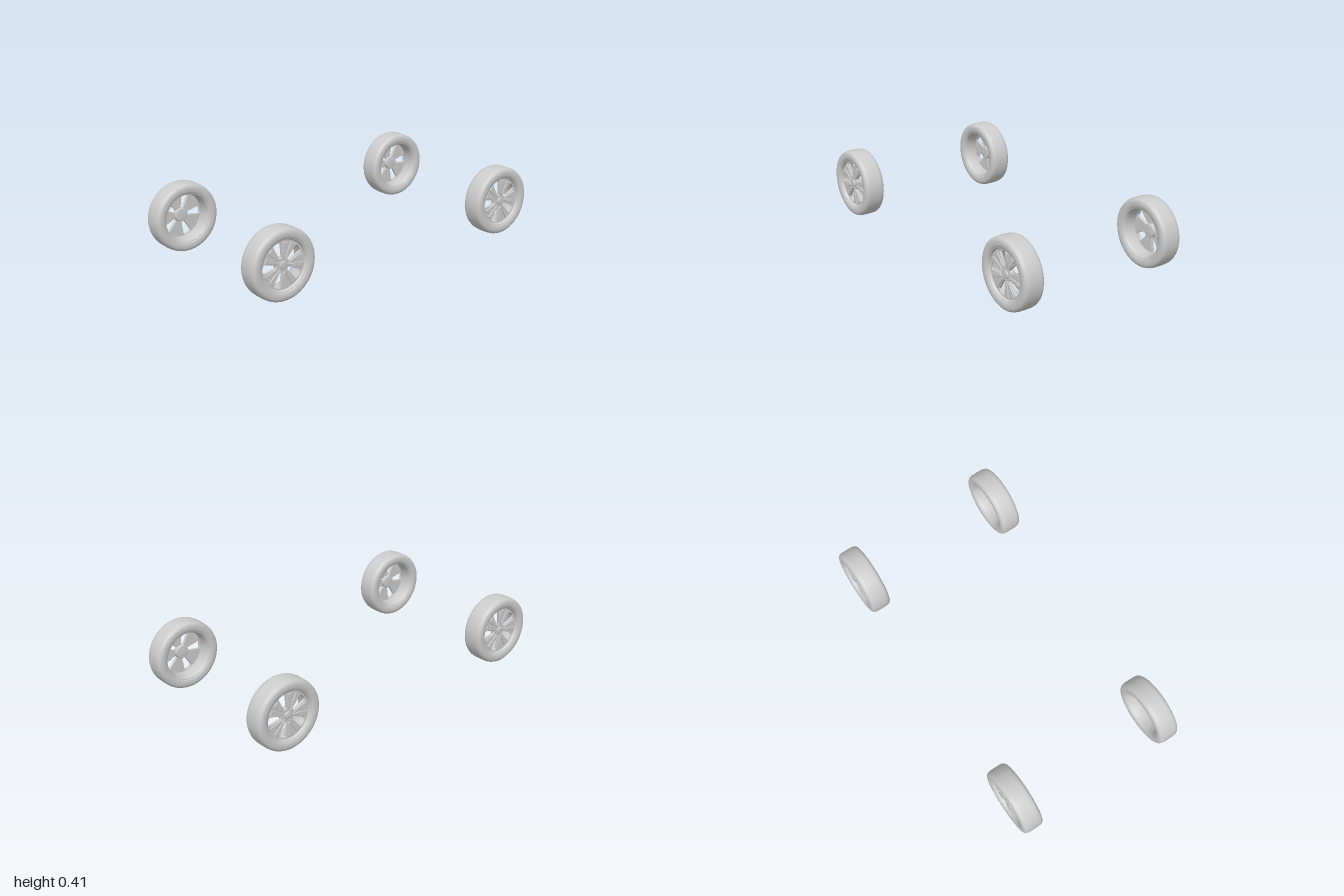
import * as THREE from 'three';

const R = 0.2025, TAU = Math.PI * 2, SPOKES = 5;
const smooth = new THREE.MeshStandardMaterial({ color: 0xcccccc });
const thin = new THREE.MeshStandardMaterial({ color: 0xcccccc, side: THREE.DoubleSide });

function add(parent, name, geometry, material = smooth) {
  const mesh = new THREE.Mesh(geometry, material);
  mesh.name = name;
  parent.add(mesh);
  return mesh;
}

// Revolve a [radius, depth] profile around the axle (local +z points outwards)
function revolve(profile, segments = 80) {
  const points = profile.map(([r, z]) => new THREE.Vector2(r, z));
  return new THREE.LatheGeometry(points, segments).rotateX(Math.PI / 2);
}

// Put [along, across] points on the spoke ray at the given angle
const ray = (pts, angle) => pts.map(([u, v]) =>
  new THREE.Vector2(u, v).rotateAround(new THREE.Vector2(), angle));

function extrude(shape, depth, z, bevel) {
  return new THREE.ExtrudeGeometry(shape, {
    depth, curveSegments: 64, bevelEnabled: true, bevelSegments: 2,
    bevelThickness: bevel, bevelSize: bevel, bevelOffset: -bevel,
  }).translate(0, 0, z);
}

// Tyre: rounded tread shoulders and bulging sidewalls
function tyreGeometry() {
  const half = [
    [0.144, 0.052], [0.148, 0.0575], [0.156, 0.061], [0.168, 0.0625], [0.18, 0.062],
    [0.189, 0.059], [0.196, 0.053], [0.2, 0.044], [0.202, 0.03],
  ];
  const outer = [...half.map(([r, z]) => [r, -z]), [R, 0], ...half.reverse()];
  return revolve([...outer, [0.142, 0.04], [0.142, -0.04], [0.144, -0.052]]);
}

// Rim barrel: open inwards, with a lip at each end
function barrelGeometry() {
  return revolve([
    [0.147, -0.055], [0.142, -0.056], [0.139, -0.05], [0.134, -0.04], [0.13, -0.01],
    [0.131, 0.02], [0.137, 0.042], [0.14, 0.052], [0.143, 0.055], [0.147, 0.055],
  ]);
}

// Wheel face: a disc pierced by five tapering windows
function faceGeometry() {
  const face = new THREE.Shape().absarc(0, 0, 0.139, 0, TAU, false);
  for (let i = 0; i < SPOKES; i++) {
    const pts = ray([[0.04, -0.008], [0.085, -0.019], [0.118, -0.026], [0.126, -0.018],
      [0.128, 0.01], [0.122, 0.022], [0.085, 0.016], [0.04, 0.008]], Math.PI + i * TAU / SPOKES);
    face.holes.push(new THREE.Path(pts.reverse()));
  }
  return extrude(face, 0.012, 0.026, 0.002);
}

// Raised half of a broad spoke; side is +1 or -1
function bladeGeometry(angle, side) {
  const pts = [[0.036, 0.003], [0.08, 0.004], [0.124, 0.012], [0.118, 0.04],
    [0.09, 0.033], [0.044, 0.016]].map(([u, v]) => [u, v * side]);
  if (side < 0) pts.reverse();
  return extrude(new THREE.Shape(ray(pts, angle)), 0.004, 0.04, 0.002);
}

function buildWheel() {
  const wheel = new THREE.Group();
  add(wheel, 'tyre', tyreGeometry());
  add(wheel, 'rimBarrel', barrelGeometry(), thin);
  add(wheel, 'wheelFace', faceGeometry());
  // Hub behind the face and cap in front
  add(wheel, 'hub', revolve([[0, 0.005], [0.036, 0.005], [0.04, 0.01], [0.04, 0.028]], 40), thin);
  add(wheel, 'hubCap', revolve([[0.023, 0.036], [0.022, 0.045], [0.018, 0.048], [0, 0.049]], 40), thin);
  for (let i = 0; i < SPOKES; i++) {
    const angle = (i + 0.5) * TAU / SPOKES + Math.PI;
    add(wheel, 'spokeBladeA' + i, bladeGeometry(angle, 1));
    add(wheel, 'spokeBladeB' + i, bladeGeometry(angle, -1));
    // Wheel nut
    const nut = add(wheel, 'wheelNut' + i,
      new THREE.CylinderGeometry(0.004, 0.004, 0.008, 6).rotateX(Math.PI / 2));
    nut.position.set(0.03 * Math.cos(angle), 0.03 * Math.sin(angle), 0.043);
  }
  return wheel;
}

export function createModel() {
  const model = new THREE.Group();
  model.name = 'wheelSet';
  const base = buildWheel();
  for (const x of [1, -1]) {
    for (const z of [1, -1]) {
      const wheel = base.clone();
      wheel.name = (z > 0 ? 'front' : 'back') + (x > 0 ? 'Left' : 'Right') + 'Wheel';
      wheel.position.set(x * 0.4625, 0.204, z * (1 - R));
      wheel.rotation.y = x * Math.PI / 2;
      model.add(wheel);
    }
  }
  return model;
}
